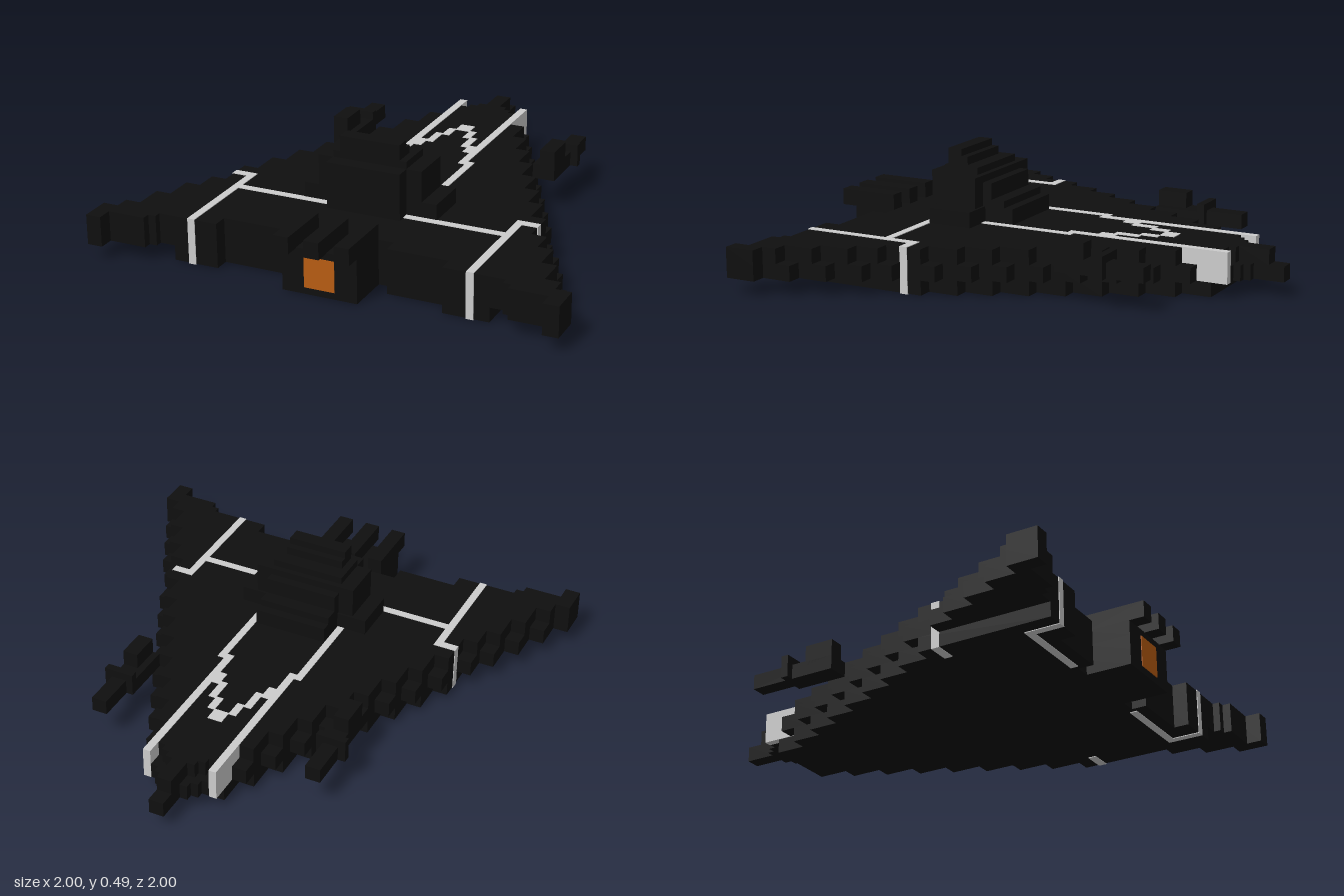
import * as THREE from 'three';

const black = new THREE.MeshStandardMaterial({ color: 0x0f0f0f });
black.name = 'hull black';
const white = new THREE.MeshStandardMaterial({ color: 0xcccccc });
white.name = 'stripe white';
const orange = new THREE.MeshStandardMaterial({ color: 0xb85c12 });
orange.name = 'engine orange';

// Stepped leading edge: [start z, half width]
const leading = [
  [-1, 0.032], [-0.87, 0.065], [-0.84, 0.097], [-0.81, 0.16], [-0.68, 0.226],
  [-0.55, 0.29], [-0.42, 0.355], [-0.29, 0.42], [-0.16, 0.485], [-0.03, 0.55],
  [0.095, 0.613], [0.226, 0.677], [0.385, 0.742], [0.485, 0.806], [0.613, 0.87],
  [0.742, 0.935], [0.87, 1],
];
// Stepped trailing edge: [x, z] from the wing tip inwards
const trailing = [
  [1, 1], [0.935, 1], [0.935, 0.935], [0.775, 0.935], [0.775, 0.9], [0.742, 0.9],
  [0.742, 0.87], [0.484, 0.87], [0.484, 0.806], [0.226, 0.806], [0.226, 0.742],
  [0.16, 0.742], [0.16, 0.935],
];

// One slab of the stepped delta hull
function hullLayer(name, y0, y1, shift, minZ, maxX) {
  const side = [];
  let lastX = 0;
  const steps = leading.filter(([, x]) => x <= maxX);
  steps.forEach(([z, x], i) => {
    const zs = Math.max(minZ, Math.min(z + shift, 0.87));
    const next = steps[i + 1];
    if (next && next[0] + shift <= minZ) return;
    if (lastX) side.push([lastX, zs]);
    side.push([x, zs]);
    lastX = x;
  });
  if (maxX < 1) side.push([maxX, 0.87]);
  side.push(...trailing.filter(([x]) => x < maxX - 0.1 || maxX === 1));
  const mirrored = side.map(([x, z]) => [-x, z]).reverse();
  const shape = new THREE.Shape([...side, ...mirrored].map(([x, z]) => new THREE.Vector2(x, z)));
  const geo = new THREE.ExtrudeGeometry(shape, { depth: y1 - y0, bevelEnabled: false });
  geo.rotateX(Math.PI / 2).translate(0, y1, 0);
  const mesh = new THREE.Mesh(geo, black);
  mesh.name = name;
  return mesh;
}

export function createModel() {
  const model = new THREE.Group();
  model.name = 'deltaShip';

  // Box given by its limits on each axis
  function box(name, mat, x0, x1, y0, y1, z0, z1) {
    const mesh = new THREE.Mesh(new THREE.BoxGeometry(x1 - x0, y1 - y0, z1 - z0), mat);
    mesh.position.set((x0 + x1) / 2, (y0 + y1) / 2, (z0 + z1) / 2);
    mesh.name = name;
    model.add(mesh);
  }
  function pair(name, mat, x0, x1, ...rest) {
    box(name + 'Left', mat, x0, x1, ...rest);
    box(name + 'Right', mat, -x1, -x0, ...rest);
  }

  // Hull slabs
  model.add(hullLayer('hullBottom', 0.003, 0.066, 0.065, -0.742, 0.677));
  model.add(hullLayer('hullMiddle', 0.065, 0.13, 0, -1, 1));
  model.add(hullLayer('hullTop', 0.129, 0.193, 0.065, -0.935, 1));

  // Bridge tower: [half width, top y, z0, z1]
  [
    [0.16, 0.26, 0.16, 0.2], [0.16, 0.29, 0.2, 0.26], [0.16, 0.36, 0.26, 0.3],
    [0.29, 0.26, 0.29, 0.484], [0.226, 0.39, 0.3, 0.484], [0.16, 0.42, 0.325, 0.484],
    [0.13, 0.455, 0.39, 0.42], [0.13, 0.485, 0.42, 0.484], [0.16, 0.39, 0.484, 0.547],
  ].forEach(([w, top, z0, z1], i) => box('bridgeTower' + i, black, -w, w, 0.18, top, z0, z1));

  // Engine fins and exhaust
  box('finCentre', black, -0.032, 0.032, 0.19, 0.26, 0.742, 1);
  pair('fin', black, 0.097, 0.16, 0.19, 0.26, 0.742, 1);
  box('engineExhaust', orange, -0.065, 0.065, 0.032, 0.163, 0.93, 0.938);

  // Side guns
  pair('gunBarrel', black, 0.45, 0.516, 0.13, 0.193, -0.613, -0.226);
  pair('gunMount', black, 0.42, 0.516, 0.13, 0.193, -0.42, -0.226);
  pair('gunBlock', black, 0.45, 0.516, 0.19, 0.26, -0.355, -0.226);
  pair('gunCrosspiece', black, 0.42, 0.548, 0.13, 0.226, -0.452, -0.42);

  // Nose stripes, with exposed sides at the front
  pair('noseStripe', white, 0.13, 0.163, 0.064, 0.196, -0.812, -0.6);
  // Flat stripes on the deck: [x0, x1, z0, z1]
  [
    [0.13, 0.163, -0.6, -0.1], [0.163, 0.194, -0.13, 0.29], [0.097, 0.13, -0.3, -0.226],
    [0.065, 0.097, -0.39, -0.28], [0.032, 0.065, -0.46, -0.38], [0, 0.032, -0.52, -0.455],
    [0.16, 0.59, 0.482, 0.515],
  ].forEach(([x0, x1, z0, z1], i) => pair('deckStripe' + i, white, x0, x1, 0.19, 0.196, z0, z1));

  // Wing stripes running through the full hull height
  pair('wingStripe', white, 0.581, 0.613, 0.006, 0.196, 0.352, 0.873);
  pair('wingStripeCorner', white, 0.581, 0.68, 0, 0.196, 0.352, 0.387);
  // Stripes on the underside
  pair('bellyStripe', white, 0.581, 0.613, 0, 0.006, 0.72, 0.873);
  pair('bellyCrossStripe', white, 0.25, 0.6, 0, 0.006, 0.72, 0.752);

  return model;
}
